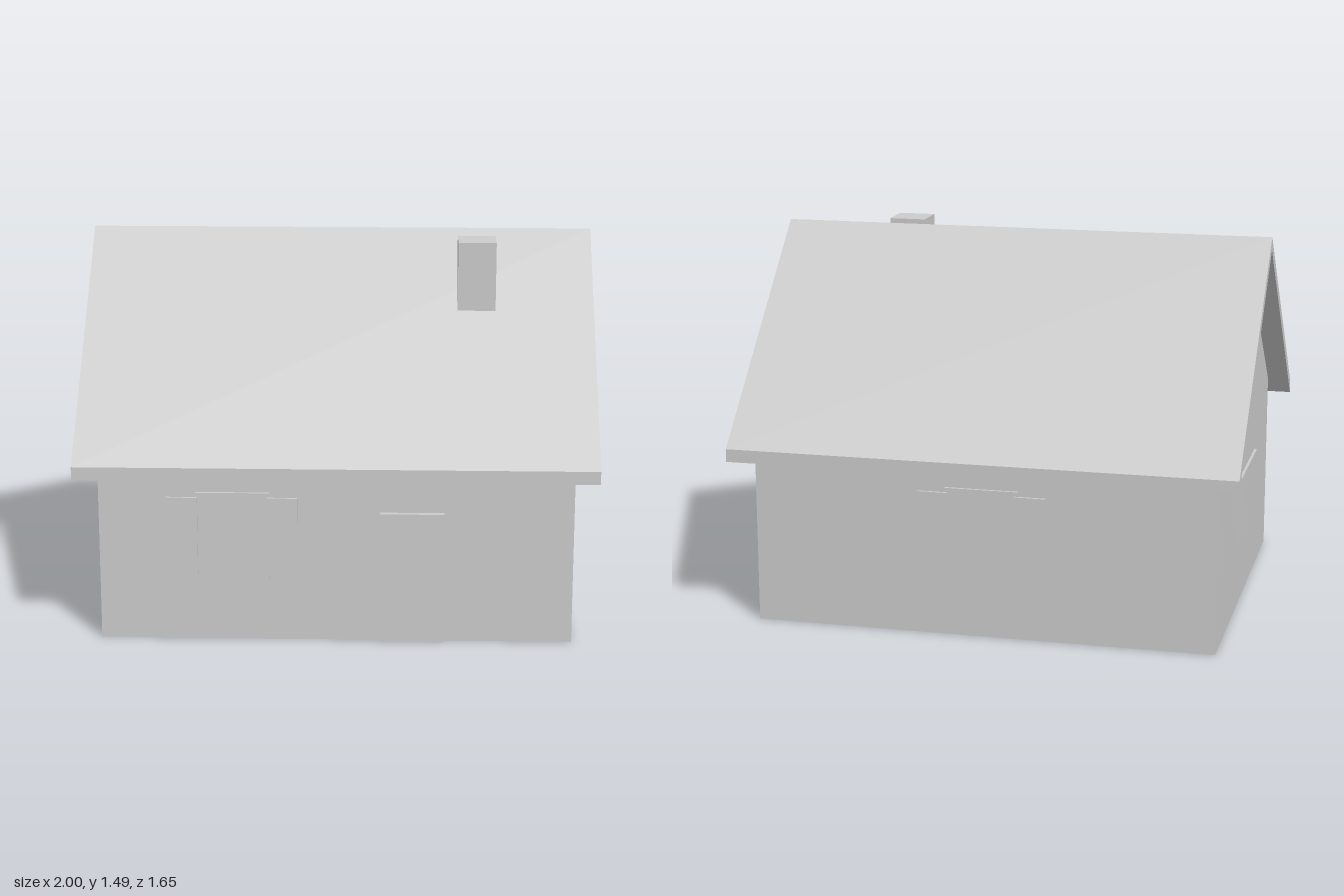
import * as THREE from 'three';

const plaster = new THREE.MeshStandardMaterial({ color: 0xcccccc });
plaster.name = 'light grey';

const WALL_X = 0.912, WALL_Z = 0.741, PLATE = 0.011;

function add(parent, name, geometry) {
  const mesh = new THREE.Mesh(geometry, plaster);
  mesh.name = name;
  parent.add(mesh);
  return mesh;
}

// Box given by its lower and upper limits
function box(parent, name, x0, x1, y0, y1, z0, z1) {
  const mesh = add(parent, name, new THREE.BoxGeometry(x1 - x0, y1 - y0, z1 - z0));
  mesh.position.set((x0 + x1) / 2, (y0 + y1) / 2, (z0 + z1) / 2);
  return mesh;
}

// Gable-shaped section [z, y] swept along x, centred
function gablePrism(points, length) {
  const shape = new THREE.Shape(points.map(([z, y]) => new THREE.Vector2(-z, y)));
  const geometry = new THREE.ExtrudeGeometry(shape, { depth: length, bevelEnabled: false });
  return geometry.translate(0, 0, -length / 2).rotateY(Math.PI / 2);
}

// Window with raised, slightly overlapping shutters, facing +z from z = 0
function longWindow(name) {
  const group = new THREE.Group();
  group.name = name;
  box(group, 'windowPane', -0.143, 0.143, 0.25, 0.595, 0, PLATE);
  for (const s of [-1, 1]) {
    const shutter = box(group, 'shutter', -0.06, 0.06, 0.268, 0.578, PLATE, 2 * PLATE);
    shutter.position.x = s * 0.193;
  }
  return group;
}

// Small gable window: three plates standing just off the wall
function sideWindow(name) {
  const group = new THREE.Group();
  group.name = name;
  box(group, 'windowPane', -0.11, 0.11, 0.288, 0.558, PLATE, 2 * PLATE);
  for (const s of [-1, 1]) {
    const shutter = box(group, 'shutter', -0.0565, 0.0565, 0.288, 0.558, PLATE, 2 * PLATE);
    shutter.position.x = s * 0.173;
  }
  return group;
}

export function createModel() {
  const house = new THREE.Group();
  house.name = 'house';

  // Walls with gables
  add(house, 'walls', gablePrism([
    [WALL_Z, 0], [-WALL_Z, 0], [-WALL_Z, 0.742], [0, 1.385], [WALL_Z, 0.742],
  ], WALL_X * 2));

  // Overhanging roof with vertical eave edges
  add(house, 'roof', gablePrism([
    [0.826, 0.664], [0.826, 0.715], [0, 1.487], [-0.826, 0.715], [-0.826, 0.664], [0, 1.435],
  ], 2));

  box(house, 'chimney', 0.465, 0.614, 1.08, 1.482, 0.146, 0.295);
  box(house, 'door', 0.17, 0.416, 0, 0.519, WALL_Z, WALL_Z + 2 * PLATE);

  // Front and back windows
  const front = longWindow('frontWindow');
  front.position.set(-0.398, 0, WALL_Z);
  const back = longWindow('backWindow');
  back.position.z = -WALL_Z;
  back.rotation.y = Math.PI;
  house.add(front, back);

  // Gable windows
  for (const [name, s] of [['leftWindow', 1], ['rightWindow', -1]]) {
    const side = sideWindow(name);
    side.position.x = s * WALL_X;
    side.rotation.y = s * Math.PI / 2;
    house.add(side);
  }
  return house;
}
